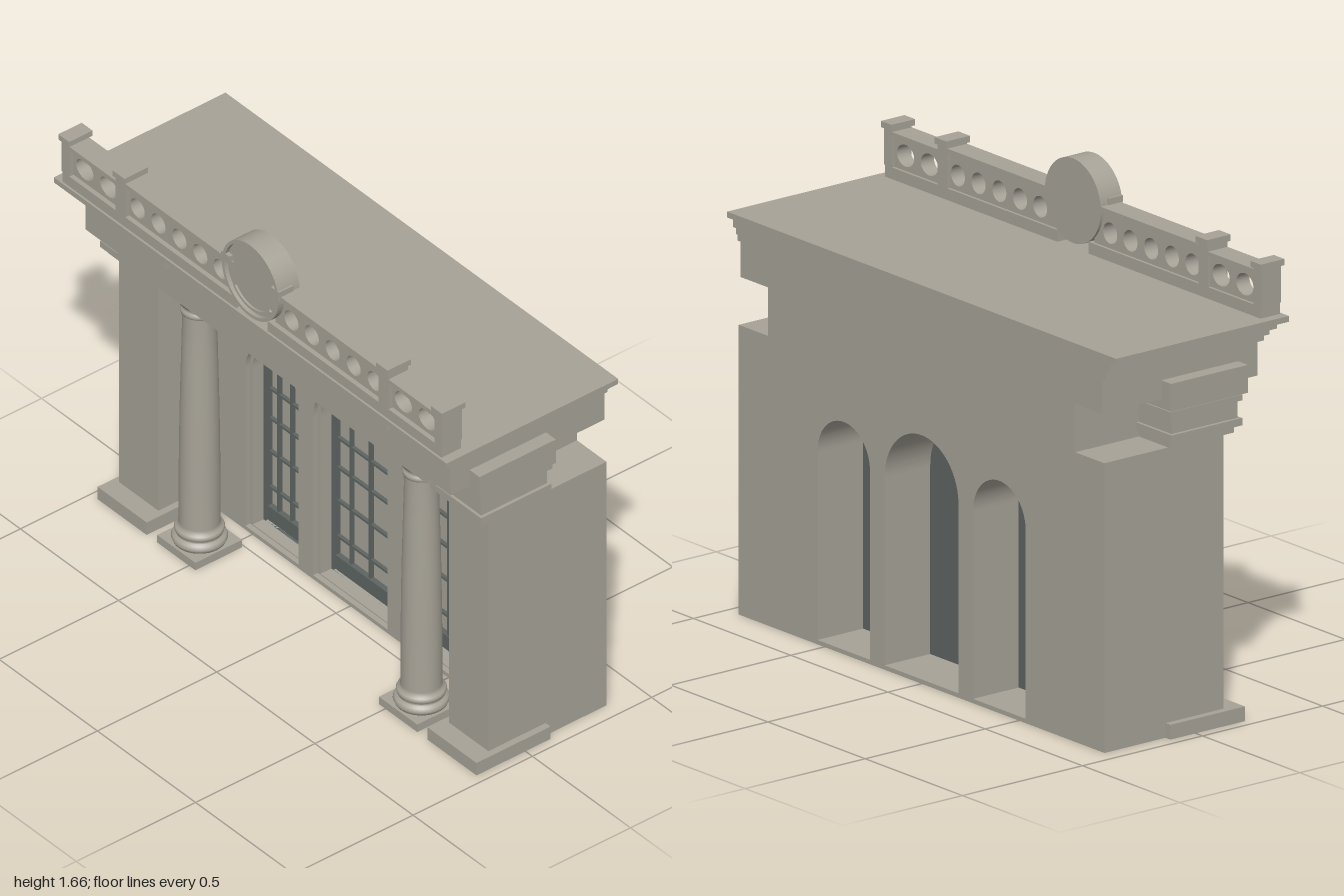
import * as THREE from 'three';

const stone = new THREE.MeshStandardMaterial({ color: 0xa6a297 });
stone.name = 'stone';
const metal = new THREE.MeshStandardMaterial({ color: 0x5e6562 });
metal.name = 'dark metal';

export function createModel() {
  const root = new THREE.Group();
  root.name = 'arcadeBuilding';

  const add = (name, geo, mat = stone, parent = root) => {
    const m = new THREE.Mesh(geo, mat);
    m.name = name;
    parent.add(m);
    return m;
  };
  // Box given by its limits on each axis
  const box = (name, x0, x1, y0, y1, z0, z1, mat = stone, parent = root) => {
    const m = add(name, new THREE.BoxGeometry(Math.abs(x1 - x0), y1 - y0, z1 - z0), mat, parent);
    m.position.set((x0 + x1) / 2, (y0 + y1) / 2, (z0 + z1) / 2);
    return m;
  };
  // Extruded shape between two z planes
  const slab = (name, shape, z0, z1, mat = stone, parent = root) => {
    const geo = new THREE.ExtrudeGeometry(shape, { depth: z1 - z0, bevelEnabled: false, curveSegments: 28 });
    geo.translate(0, 0, z0);
    return add(name, geo, mat, parent);
  };
  const rect = (x0, x1, y0, y1) => new THREE.Shape([
    new THREE.Vector2(x0, y0), new THREE.Vector2(x1, y0),
    new THREE.Vector2(x1, y1), new THREE.Vector2(x0, y1)]);
  // Round-headed outline
  const SPRING = 0.655, SILL = 0.015;
  const arch = (Type, cx, r, y0 = SILL) => {
    const s = new Type();
    s.moveTo(cx - r, y0);
    s.lineTo(cx + r, y0);
    s.lineTo(cx + r, SPRING);
    s.absarc(cx, SPRING, r, 0, Math.PI, false);
    s.lineTo(cx - r, y0);
    return s;
  };
  const archRing = (cx, r, w) => {
    const s = arch(THREE.Shape, cx, r);
    s.holes.push(arch(THREE.Path, cx, r - w, SILL + 0.004));
    return s;
  };

  // Main wall with three arched openings
  const openings = [
    { cx: -0.4, r: 0.135, bars: [-0.065, 0, 0.065], rows: [0.147, 0.29, 0.425, 0.545, 0.655] },
    { cx: 0, r: 0.19, bars: [-0.098, 0, 0.098], rows: [0.147, 0.29, 0.425, 0.545, 0.7] },
    { cx: 0.4, r: 0.135, bars: [-0.065, 0, 0.065], rows: [0.147, 0.29, 0.425, 0.545, 0.655] },
  ];
  const wall = rect(-0.79, 0.79, 0, 1.15);
  for (const o of openings) wall.holes.push(arch(THREE.Path, o.cx, o.r));
  slab('wall', wall, -0.36, -0.06);

  // Windows and keystones
  for (const { cx, r, bars, rows } of openings) {
    const win = new THREE.Group();
    win.name = 'window';
    root.add(win);
    slab('windowBack', arch(THREE.Shape, cx, r), -0.17, -0.16, metal, win);
    slab('pane', arch(THREE.Shape, cx, r - 0.01), -0.16, -0.155, stone, win);
    slab('archTrim', archRing(cx, r, 0.014), -0.155, -0.08, stone, win);
    slab('windowFrame', archRing(cx, r - 0.014, 0.01), -0.155, -0.125, metal, win);
    const ri = r - 0.016, t = 0.0045;
    for (const dx of bars)
      box('verticalBar', cx + dx - t, cx + dx + t, 0.07, SPRING + Math.sqrt(ri * ri - dx * dx), -0.156, -0.14, metal, win);
    for (const y of rows) {
      const dy = Math.max(0, y - SPRING), h = Math.sqrt(ri * ri - dy * dy);
      box('crossBar', cx - h, cx + h, y - t, y + t, -0.156, -0.142, metal, win);
    }
    box('kickPanel', cx - ri, cx + ri, SILL, 0.075, -0.156, -0.135, metal, win);
    const ky = SPRING + r;
    slab('keystone', new THREE.Shape([
      new THREE.Vector2(cx - 0.021, ky + 0.005), new THREE.Vector2(cx + 0.021, ky + 0.005),
      new THREE.Vector2(cx + 0.033, ky + 0.052), new THREE.Vector2(cx - 0.033, ky + 0.052)]), -0.065, -0.03);
  }

  // Corner piers with stepped bases and caps: [half width, y0, y1, z0, z1]
  const pierSteps = [
    ['pierBase', 0.125, 0, 0.05, -0.105, 0.205],
    ['pierCap', 0.112, 0.985, 1.01, -0.095, 0.17],
    ['pierCap', 0.13, 1.01, 1.035, -0.105, 0.19],
    ['pierCap', 0.118, 1.035, 1.095, -0.095, 0.18],
    ['pierCap', 0.13, 1.095, 1.115, -0.11, 0.19],
    ['pierBlock', 0.14, 1.12, 1.215, -0.115, 0.205],
  ];
  // Column profile: [radius, height]
  const profile = [[0, 0.03], [0.088, 0.03], [0.093, 0.042], [0.088, 0.055], [0.077, 0.058], [0.075, 0.066],
    [0.081, 0.07], [0.083, 0.08], [0.079, 0.088], [0.071, 0.092], [0.068, 0.105], [0.068, 0.3], [0.065, 0.55],
    [0.06, 0.78], [0.056, 0.948], [0.062, 0.952], [0.064, 0.962], [0.06, 0.97], [0.056, 0.972], [0.057, 0.985],
    [0.066, 0.99], [0.073, 1.005], [0.085, 1.022], [0.088, 1.03], [0, 1.03]].map(p => new THREE.Vector2(...p));

  for (const s of [-1, 1]) {
    box('pier', s * 0.74, s * 0.94, 0, 1.15, -0.06, 0.135);
    box('sideWall', s * 0.79, s * 0.94, 0, 0.985, -0.36, -0.06);
    box('upperSideWall', s * 0.79, s * 0.94, 0.985, 1.15, -0.095, -0.06);
    for (const [n, hw, y0, y1, z0, z1] of pierSteps)
      box(n, s * 0.84 - hw, s * 0.84 + hw, y0, y1, z0, z1);

    // Free-standing column
    const c = s * 0.565, cz = 0.107;
    box('columnPlinth', c - 0.0975, c + 0.0975, 0, 0.03, cz - 0.0975, cz + 0.0975);
    add('column', new THREE.LatheGeometry(profile, 40)).position.set(c, 0, cz);
    box('columnAbacus', c - 0.095, c + 0.095, 1.028, 1.07, cz - 0.093, cz + 0.093);

    // Brackets under the cornice above each column
    box('bracket', c - 0.065, c + 0.065, 1.245, 1.275, 0.28, 0.305);
    box('bracket', c - 0.078, c + 0.078, 1.275, 1.31, 0.28, 0.32);
  }

  // Entablature and cornice layers: [half width, y0, y1, front z]
  [['lowerBeam', 0.775, 1.07, 1.105, 0.225, -0.07],
    ['upperBeam', 0.79, 1.105, 1.15, 0.265, -0.07],
    ['frieze', 0.93, 1.15, 1.27, 0.285, -0.36],
    ['cornice', 0.945, 1.27, 1.29, 0.3, -0.36],
    ['cornice', 0.955, 1.29, 1.31, 0.315, -0.36],
    ['cornice', 0.97, 1.31, 1.335, 0.335, -0.36],
    ['roofSlab', 1, 1.335, 1.355, 0.36, -0.36],
  ].forEach(([n, hw, y0, y1, z1, z0]) => box(n, -hw, hw, y0, y1, z0, z1));

  // Parapet: pierced panels, rails and posts
  const pierced = (x0, x1, y1, centres, rx, ry) => {
    const p = rect(x0, x1, 1.39, y1);
    for (const x of centres) {
      const h = new THREE.Path();
      h.absellipse(x, 1.447, rx, ry, 0, Math.PI * 2, false);
      p.holes.push(h);
    }
    slab('piercedPanel', p, 0.28, 0.335);
  };
  for (const s of [-1, 1]) {
    const span = (a, b) => s > 0 ? [a, b] : [-b, -a];
    pierced(...span(0.1, 0.65), 1.515, [0.18, 0.284, 0.39, 0.497, 0.603].map(x => s * x), 0.036, 0.036);
    pierced(...span(0.69, 0.94), 1.5, [0.75, 0.872].map(x => s * x), 0.044, 0.037);
    box('parapetBase', s * 0.08, s * 0.965, 1.355, 1.395, 0.27, 0.352);
    box('innerRail', s * 0.1, s * 0.65, 1.512, 1.53, 0.27, 0.352);
    box('outerRail', s * 0.69, s * 0.94, 1.498, 1.515, 0.27, 0.352);
    box('innerPost', s * 0.645, s * 0.695, 1.395, 1.535, 0.27, 0.352);
    box('innerPostCap', s * 0.64, s * 0.7, 1.535, 1.557, 0.262, 0.36);
    box('endPost', s * 0.93, s * 0.97, 1.395, 1.522, 0.27, 0.352);
    box('endPostCap', s * 0.922, s * 0.977, 1.522, 1.543, 0.262, 0.36);
  }

  // Round medallion with raised rim, side tabs and a lower arc
  const ring = (r0, r1, a0, a1) => {
    const p = new THREE.Shape();
    p.absarc(0, 1.515, r1, a0, a1, false);
    p.absarc(0, 1.515, r0, a1, a0, true);
    return p;
  };
  const disc = add('medallion', new THREE.CylinderGeometry(0.144, 0.144, 0.075, 56));
  disc.rotation.x = Math.PI / 2;
  disc.position.set(0, 1.515, 0.3075);
  const rim = new THREE.Shape();
  rim.absarc(0, 1.515, 0.144, 0, Math.PI * 2, false);
  const inner = new THREE.Path();
  inner.absarc(0, 1.515, 0.132, 0, Math.PI * 2, true);
  rim.holes.push(inner);
  slab('medallionRim', rim, 0.344, 0.36);
  slab('medallionArc', ring(0.112, 0.122, Math.PI * 1.22, Math.PI * 1.78), 0.344, 0.353);
  for (const s of [-1, 1])
    box('medallionTab', s * 0.105, s * 0.147, 1.53, 1.552, 0.3, 0.36);

  return root;
}
